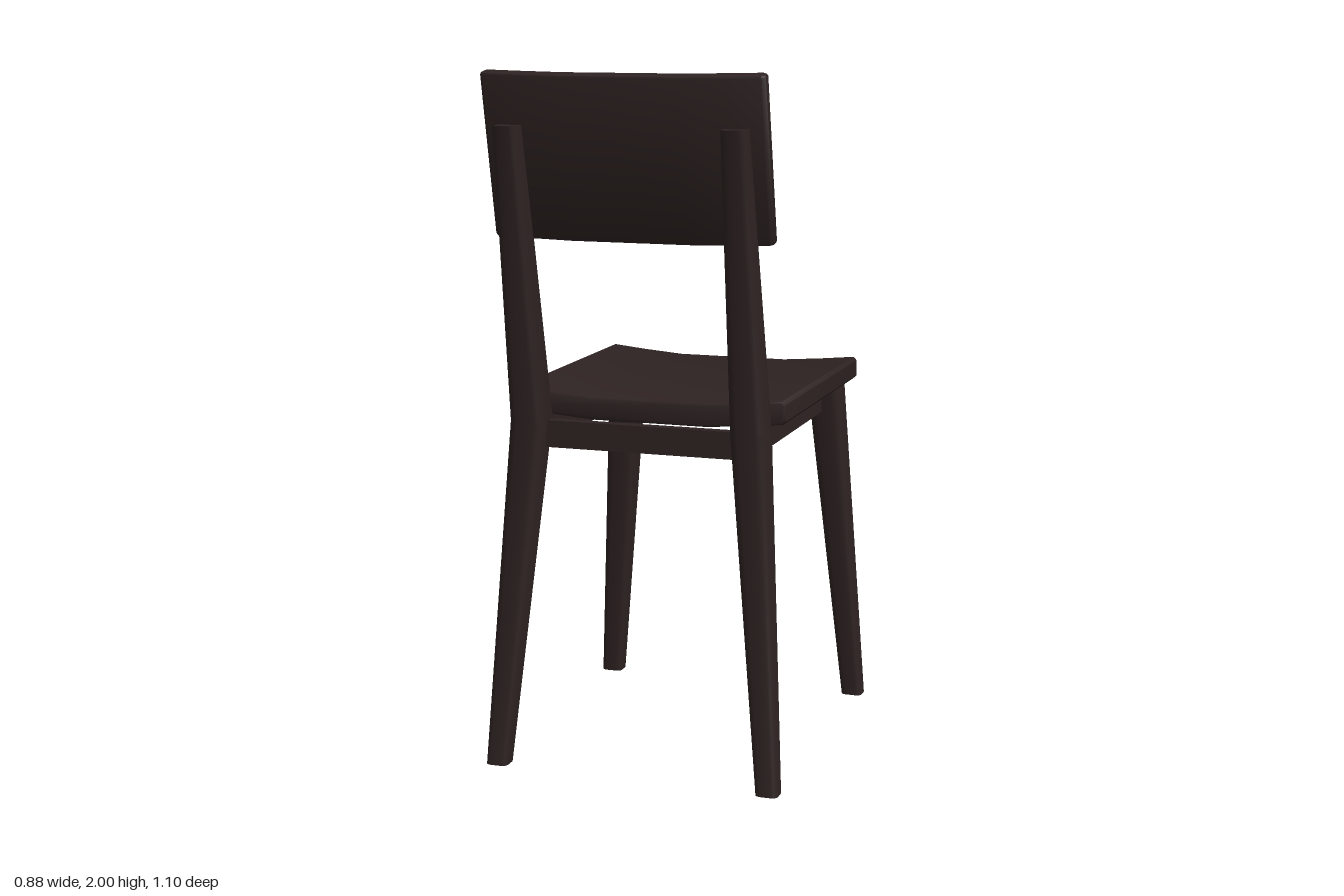
import * as THREE from 'three';
import { toCreasedNormals } from 'three/addons/utils/BufferGeometryUtils.js';

// Rounded post lofted through sections [y, xMin, xMax, zMin, zMax]
function loftPost(sections, side) {
  const corners = [[1, 1], [-1, 1], [-1, -1], [1, -1]], steps = 3, n = corners.length * (steps + 1);
  const pos = [], idx = [];
  for (const [y, x0, x1, z0, z1] of sections) {
    const cx = side * (x0 + x1) / 2, cz = (z0 + z1) / 2;
    const w = (x1 - x0) / 2, d = (z1 - z0) / 2, r = Math.min(w, d) * 0.5;
    corners.forEach(([sx, sz], c) => {
      for (let i = 0; i <= steps; i++) {
        const a = (c + i / steps) * Math.PI / 2;
        pos.push(cx + sx * (w - r) + r * Math.cos(a), y, cz + sz * (d - r) + r * Math.sin(a));
      }
    });
  }
  const last = (sections.length - 1) * n;
  for (let s = 0; s < last; s += n) {
    for (let i = 0; i < n; i++) {
      const a = s + i, b = s + (i + 1) % n;
      idx.push(a, a + n, b, b, a + n, b + n);
    }
  }
  for (let i = 1; i < n - 1; i++) idx.push(0, i, i + 1, last, last + i + 1, last + i);
  const geo = new THREE.BufferGeometry();
  geo.setAttribute('position', new THREE.Float32BufferAttribute(pos, 3));
  geo.setIndex(idx);
  return toCreasedNormals(geo, 0.65);
}

// Gently bent board: profile flat in the middle, lifted at both ends, extruded along z
function bentBoard(halfWidth, thickness, bend, length) {
  const c = 0.01, k = [[-1, 1], [-0.72, 0.48], [-0.42, 0], [0.42, 0], [0.72, 0.48], [1, 1]];
  const pts = [];
  const addEdge = (list, base, inward) => list.forEach(([u, lift], i) => {
    const x = u * halfWidth, y = base + lift * bend;
    const tip = new THREE.Vector2(x, y + inward * c), inner = new THREE.Vector2(x - Math.sign(x) * c, y);
    if (i === 0) pts.push(tip, inner);
    else if (i === list.length - 1) pts.push(inner, tip);
    else pts.push(new THREE.Vector2(x, y));
  });
  addEdge(k, 0, 1);
  addEdge([...k].reverse(), thickness, -1);
  const geo = new THREE.ExtrudeGeometry(new THREE.Shape(pts), {
    depth: length - 0.016, bevelEnabled: true, bevelSize: 0.008, bevelOffset: -0.008,
    bevelThickness: 0.008, bevelSegments: 2,
  });
  geo.translate(0, 0, 0.008);
  return toCreasedNormals(geo, 0.5);
}

export function createModel() {
  const wood = new THREE.MeshStandardMaterial({ color: 0x2e2322 });
  wood.name = 'darkWood';
  const chair = new THREE.Group();
  chair.name = 'chair';
  const add = (name, geo, x = 0, y = 0, z = 0) => {
    const mesh = new THREE.Mesh(geo, wood);
    mesh.name = name;
    mesh.position.set(x, y, z);
    chair.add(mesh);
    return mesh;
  };

  // Seat, dished across its width
  add('seat', bentBoard(0.405, 0.068, 0.02, 0.81), 0, 1.002, -0.52);

  // Backrest, bowed to the rear and leaning back
  const back = bentBoard(0.405, 0.042, 0.02, 0.467);
  back.rotateX(-Math.PI / 2).rotateX(0.21);
  add('backrest', back, 0, 1.53, 0.44);

  for (const side of [1, -1]) {
    const label = side > 0 ? 'left' : 'right';
    // Splayed, tapered legs; the rear ones carry on up to the backrest
    add(label + 'FrontLeg', loftPost([
      [0, 0.375, 0.44, -0.55, -0.488],
      [1.015, 0.275, 0.378, -0.495, -0.39],
    ], side));
    add(label + 'RearLeg', loftPost([
      [0, 0.375, 0.44, 0.41, 0.473],
      [1.01, 0.275, 0.378, 0.308, 0.413],
      [1.85, 0.29, 0.358, 0.478, 0.552],
    ], side));
    // Side rails
    add(label + 'Rail', new THREE.BoxGeometry(0.03, 0.078, 0.78), side * 0.31, 0.971, -0.04);
  }

  // Front and rear rails
  add('rearRail', new THREE.BoxGeometry(0.6, 0.078, 0.03), 0, 0.971, 0.354);
  add('frontRail', new THREE.BoxGeometry(0.6, 0.078, 0.03), 0, 0.971, -0.44);
  return chair;
}
